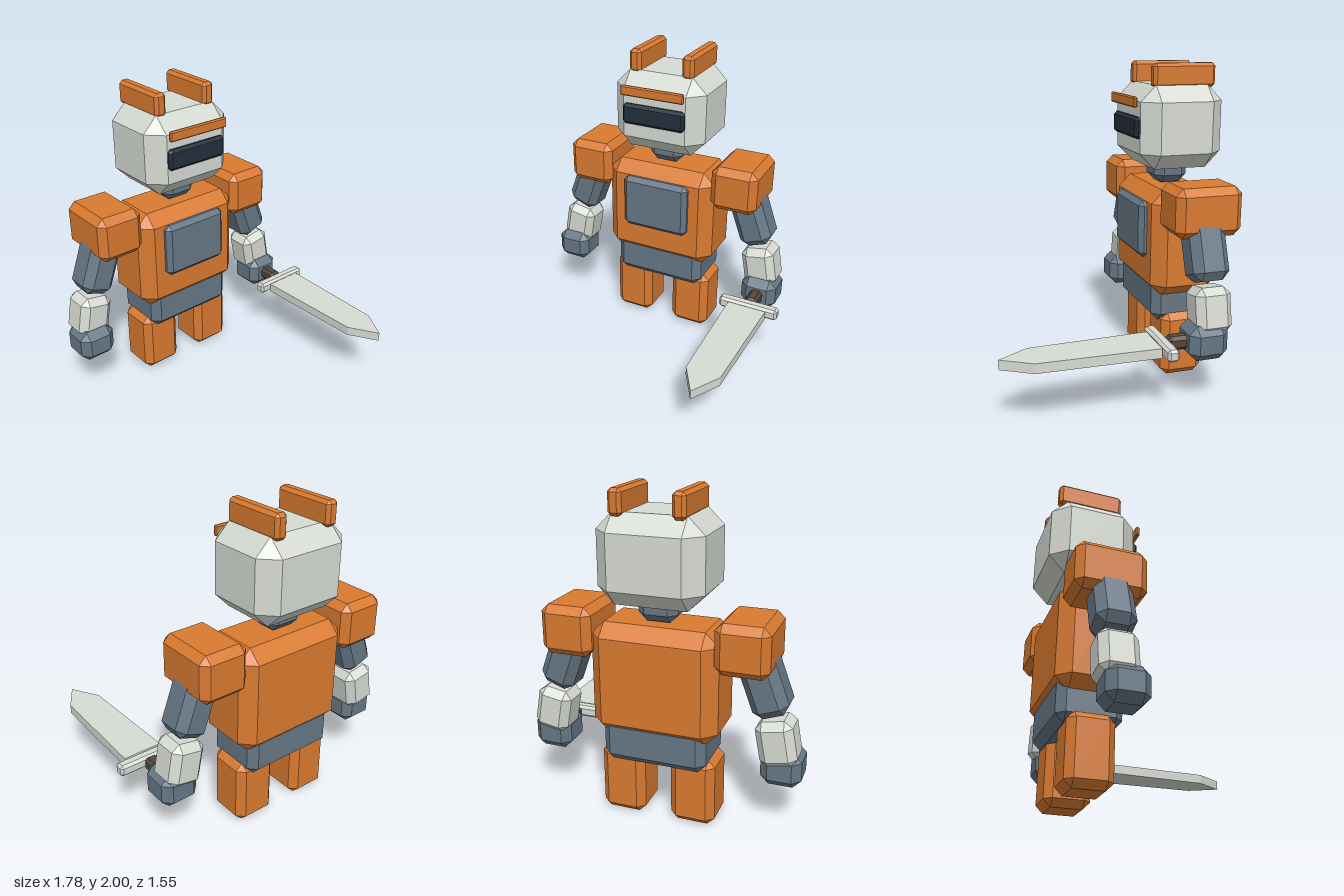
import * as THREE from 'three';
import { ConvexGeometry } from 'three/addons/geometries/ConvexGeometry.js';

const mat = (name, color) => {
  const m = new THREE.MeshStandardMaterial({ color });
  m.name = name;
  return m;
};

// Box with every edge cut flat by a bevel b
function chamferBox(w, h, d, b) {
  const pts = [];
  for (const sx of [-1, 1]) for (const sy of [-1, 1]) for (const sz of [-1, 1]) {
    const x = w / 2, y = h / 2, z = d / 2;
    pts.push(new THREE.Vector3(sx * x, sy * (y - b), sz * (z - b)));
    pts.push(new THREE.Vector3(sx * (x - b), sy * y, sz * (z - b)));
    pts.push(new THREE.Vector3(sx * (x - b), sy * (y - b), sz * z));
  }
  return new ConvexGeometry(pts);
}

export function createModel() {
  const orange = mat('orange', 0xd97a30);
  const grey = mat('light grey', 0xd6dbd3);
  const slate = mat('slate', 0x667785);
  const dark = mat('dark visor', 0x232f3b);
  const brown = mat('grip brown', 0x54463a);

  const model = new THREE.Group();
  model.name = 'robotKnight';

  // Body group: its own x = 0 is the plane of symmetry
  const body = new THREE.Group();
  body.name = 'body';
  body.position.set(-0.042, 0, -0.5);
  model.add(body);

  const part = (parent, name, material, size, bevel, pos, tilt = 0) => {
    const mesh = new THREE.Mesh(chamferBox(...size, bevel), material);
    mesh.name = name;
    mesh.position.set(...pos);
    mesh.rotation.z = tilt;
    parent.add(mesh);
    return mesh;
  };

  // Head
  part(body, 'head', grey, [0.63, 0.52, 0.54], 0.1, [0, 1.61, -0.005]);
  part(body, 'visor', dark, [0.43, 0.135, 0.06], 0.018, [0, 1.61, 0.265]);
  part(body, 'brow', orange, [0.435, 0.066, 0.026], 0.008, [0, 1.77, 0.298]);
  part(body, 'neck', slate, [0.24, 0.2, 0.22], 0.05, [0, 1.337, 0]);

  // Torso
  part(body, 'torso', orange, [0.77, 0.685, 0.435], 0.08, [0, 0.888, 0]);
  part(body, 'chestPlate', slate, [0.465, 0.365, 0.08], 0.03, [0, 0.968, 0.225]);
  part(body, 'waist', slate, [0.635, 0.28, 0.39], 0.05, [0, 0.51, 0]);

  // Mirrored parts
  for (const [side, s] of [['left', 1], ['right', -1]]) {
    const put = (name, m, size, bevel, [x, y, z], tilt = 0) =>
      part(body, side + name, m, size, bevel, [s * x, y, z], s * tilt);
    put('Crest', orange, [0.08, 0.15, 0.41], 0.02, [0.182, 1.925, -0.025]);
    put('Shoulder', orange, [0.315, 0.3, 0.42], 0.045, [0.525, 1.16, -0.01]);
    put('UpperArm', slate, [0.222, 0.42, 0.23], 0.05, [0.612, 0.95, 0], 0.35);
    put('Forearm', grey, [0.222, 0.28, 0.225], 0.045, [0.706, 0.588, 0], 0.18);
    put('Hand', slate, [0.242, 0.215, 0.245], 0.05, [0.732, 0.417, 0.042]);
    put('Leg', orange, [0.275, 0.43, 0.28], 0.045, [0.22, 0.215, 0]);
  }

  // Sword held forward in the left hand
  const sword = new THREE.Group();
  sword.name = 'sword';
  sword.position.set(0.69, 0.415, 0);
  model.add(sword);
  part(sword, 'grip', brown, [0.085, 0.085, 0.2], 0.02, [0, 0.002, -0.32]);
  part(sword, 'guard', grey, [0.4, 0.075, 0.072], 0.016, [0, 0.003, -0.19]);

  // Blade outline runs along shape +y, laid over so that becomes +z
  const outline = [[-0.128, -0.145], [0.128, -0.145], [0.108, 0.59], [0, 0.772], [-0.108, 0.59]];
  const shape = new THREE.Shape(outline.map(([x, y]) => new THREE.Vector2(x, y)));
  const bladeGeo = new THREE.ExtrudeGeometry(shape, { depth: 0.06, bevelEnabled: false });
  bladeGeo.translate(0, 0, -0.03);
  bladeGeo.rotateX(Math.PI / 2);
  const blade = new THREE.Mesh(bladeGeo, grey);
  blade.name = 'blade';
  sword.add(blade);

  return model;
}
